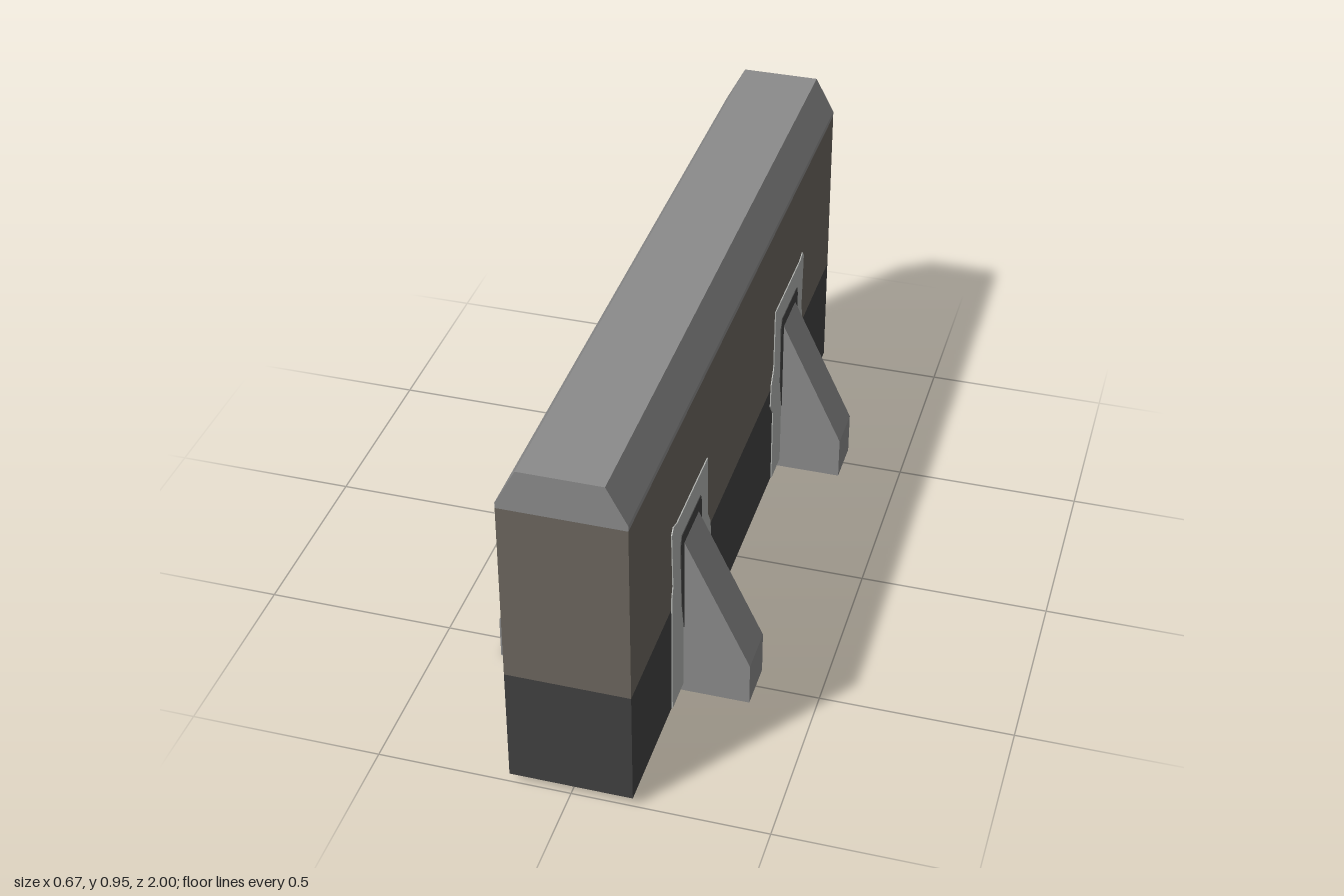
import * as THREE from 'three';

const mat = (name, color) => {
  const m = new THREE.MeshStandardMaterial({ color });
  m.name = name;
  return m;
};

// Extrudes a closed outline of [x, y] points, centred along z
function prism(points, depth) {
  const shape = new THREE.Shape(points.map(([x, y]) => new THREE.Vector2(x, y)));
  const g = new THREE.ExtrudeGeometry(shape, { depth, bevelEnabled: false });
  return g.translate(0, 0, -depth / 2);
}

export function createModel() {
  const concrete = mat('concrete grey', 0x8b8b8b);
  const grime = mat('brown grime', 0x6c665e);
  const soot = mat('dark base', 0x414141);
  const clean = mat('pale patch', 0xb1b3b0);
  const model = new THREE.Group();
  model.name = 'barrier';

  const add = (parent, name, geometry, material) => {
    const mesh = new THREE.Mesh(geometry, material);
    mesh.name = name;
    parent.add(mesh);
    return mesh;
  };

  // Wall in three colour bands, with a chamfered cap
  const W = 0.157, BASE = 0.025, DARK = 0.345, BROWN = 0.84;
  const band = (y0, y1) => prism([[-W, y0], [W, y0], [W, y1], [-W, y1]], 2);
  add(model, 'wallBase', band(BASE, DARK), soot);
  add(model, 'wallMiddle', band(DARK, BROWN), grime);
  add(model, 'wallCap', prism([
    [-W, BROWN], [W, BROWN], [W, 0.855], [0.105, 0.952], [-0.105, 0.952], [-W, 0.855],
  ], 2), concrete);

  // Outlines are [offset along the wall, height]; the positive offset points to the wall's end
  const patchOutline = [
    [-0.16, BASE], [0.165, BASE], [0.165, 0.38], [0.155, 0.41], [0.165, 0.575], [0.15, 0.59],
    [0.12, 0.58], [-0.155, 0.58], [-0.16, 0.4], [-0.185, 0.36], [-0.19, 0.29], [-0.16, 0.25],
  ];
  const stainOutline = [
    [-0.065, 0.21], [0.065, 0.21], [0.085, 0.3], [0.095, 0.49], [0.085, 0.515],
    [-0.085, 0.515], [-0.095, 0.49], [-0.09, 0.31],
  ];
  const footProfile = [[0.105, 0], [0.333, 0], [0.333, 0.12], [W, 0.49], [0.105, 0.49]];

  for (const sx of [1, -1]) {
    for (const sz of [1, -1]) {
      const support = new THREE.Group();
      support.name = `${sx > 0 ? 'left' : 'right'}${sz > 0 ? 'Front' : 'Back'}Support`;
      support.position.z = 0.5 * sz;
      model.add(support);

      // Sloping foot
      const foot = add(support, 'foot', prism(footProfile, 0.13), concrete);
      if (sx < 0) foot.rotation.y = Math.PI;

      // Thin patches on the wall face, turned to face outwards
      const facePlate = (name, outline, thickness, material) => {
        const pts = outline.map(([u, y]) => [-sx * sz * u, y]);
        const plate = add(support, name, prism(pts, thickness), material);
        plate.rotation.y = sx * Math.PI / 2;
        plate.position.x = sx * W;
      };
      facePlate('wallPatch', patchOutline, 0.006, clean);
      facePlate('footStain', stainOutline, 0.01, soot);

      // Matching patches under the wall
      const underPatch = add(support, 'underPatch', new THREE.BoxGeometry(0.1, 0.004, 0.3), clean);
      underPatch.position.set(sx * 0.107, BASE, 0);
      const underStain = add(support, 'underStain', new THREE.BoxGeometry(0.055, 0.007, 0.18), soot);
      underStain.position.set(sx * 0.11, BASE, 0);
    }
  }
  return model;
}
